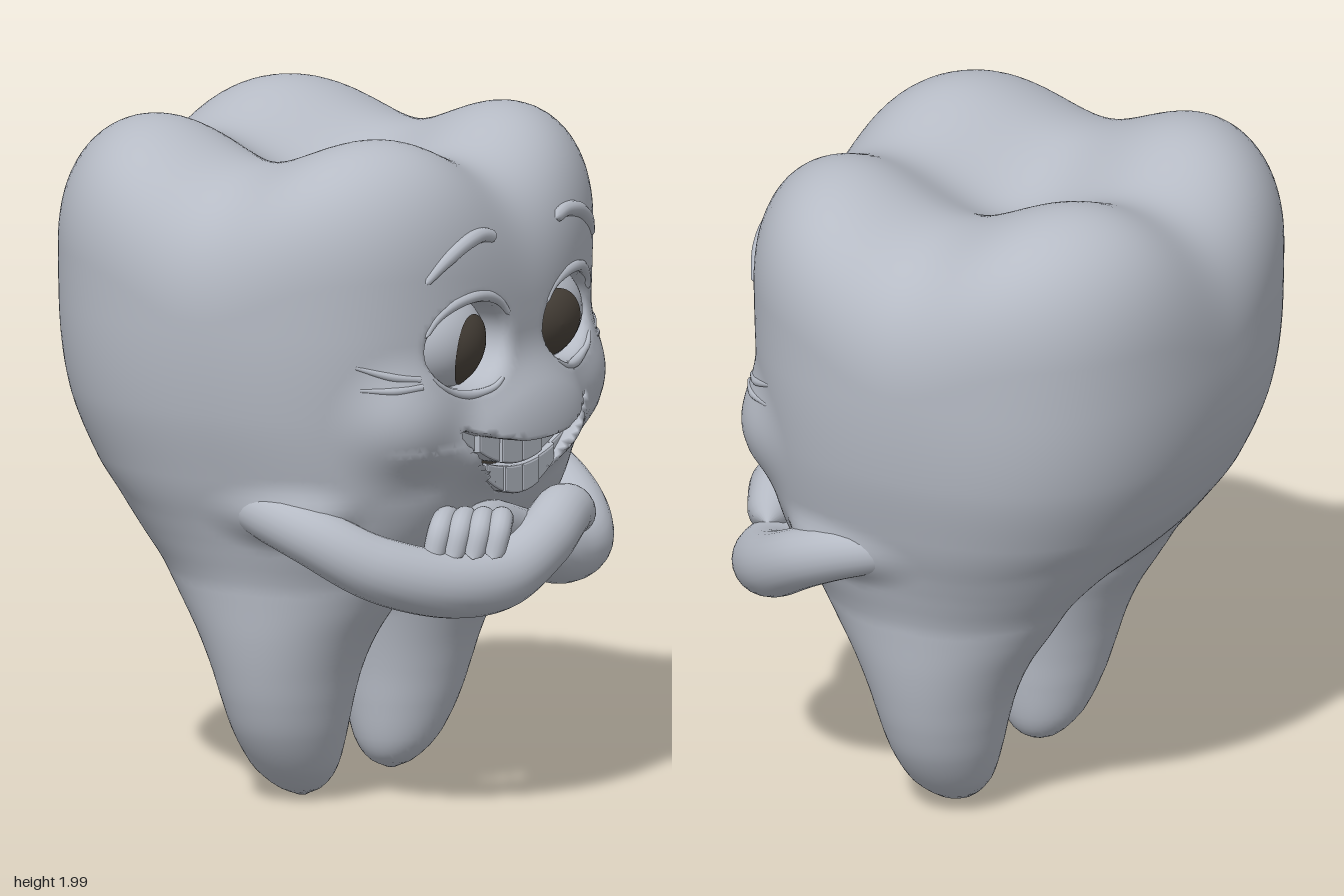
import * as THREE from 'three';

const enamel = new THREE.MeshStandardMaterial({ color: 0xb6bbc5 });
enamel.name = 'enamel grey';
const dark = new THREE.MeshStandardMaterial({ color: 0x4a433b });
dark.name = 'dark brown';

// Crown sections: y, back x, front x, half depth z
const CROWN = [[0.54, -0.06, 0.06, 0.2], [0.62, -0.22, 0.22, 0.38], [0.7, -0.365, 0.36, 0.53], [0.8, -0.495, 0.48, 0.62],
  [0.9, -0.585, 0.55, 0.67], [1, -0.655, 0.585, 0.705], [1.2, -0.735, 0.605, 0.755], [1.45, -0.766, 0.625, 0.777], [2.2, -0.765, 0.64, 0.775]];
// Root sections: y, half width x, inner z, outer z
const ROOT = [[0, 0.012, 0.24, 0.262], [0.02, 0.055, 0.2, 0.31], [0.05, 0.09, 0.17, 0.36], [0.1, 0.125, 0.15, 0.42], [0.2, 0.162, 0.135, 0.49],
  [0.3, 0.19, 0.125, 0.53], [0.4, 0.222, 0.11, 0.555], [0.5, 0.27, 0.09, 0.572], [0.6, 0.335, 0.065, 0.582], [0.7, 0.395, 0.06, 0.59],
  [0.8, 0.43, 0.08, 0.59], [0.95, 0.42, 0.12, 0.55], [1.15, 0.25, 0.2, 0.45]];

// Smooth interpolation between table rows
function lookup(rows, y) {
  const n = rows.length - 1;
  if (y <= rows[0][0]) return rows[0];
  if (y >= rows[n][0]) return rows[n];
  let i = 0;
  while (rows[i + 1][0] < y) i++;
  const a = rows[i], b = rows[i + 1], p = rows[Math.max(i - 1, 0)], q = rows[Math.min(i + 2, n)];
  const h = b[0] - a[0], t = (y - a[0]) / h, t2 = t * t, t3 = t2 * t;
  return a.map((v, k) => v * (2 * t3 - 3 * t2 + 1) + b[k] * (3 * t2 - 2 * t3)
    + h * (t3 - 2 * t2 + t) * (b[k] - p[k]) / (b[0] - p[0]) + h * (t3 - t2) * (q[k] - a[k]) / (q[0] - a[0]));
}

const smax = (a, b, k) => Math.max(a, b) + Math.max(k - Math.abs(a - b), 0) ** 2 / (4 * k);
const smin = (a, b, k) => -smax(-a, -b, k);
const ellipsoid = (x, y, z, rx, ry, rz) => (Math.hypot(x / rx, y / ry, z / rz) - 1) * Math.min(rx, ry, rz);

const EYE = { x: 0.46, y: 1.395, z: 0.275, rx: 0.14, ry: 0.15, rz: 0.185 };
const mouthTop = z => 1.085 + 0.08 * (z / 0.36) ** 2;
const mouthBottom = z => 0.932 + 0.233 * (z / 0.36) ** 2;

// Signed field of the tooth: negative inside
function field(x, y, z) {
  const a = Math.abs(z);
  const [, xb, xf, hz] = lookup(CROWN, y), hx = (xf - xb) / 2;
  const side = ((Math.abs((x - (xb + xf) / 2) / hx) ** 2.65 + (a / hz) ** 2.65) ** (1 / 2.65) - 1) * Math.min(hx, hz);
  // Four cusps, parted by two crossing valleys
  const top = 2.05 - 0.145 * Math.exp(-(((x + 0.05) / 0.27) ** 2)) - 0.13 * Math.exp(-((z / 0.24) ** 2));
  let d = smax(smax(side, y - top, 0.43), 0.57 - y, 0.06);
  if (y < 1.15) {
    const [, rx, zi, zo] = lookup(ROOT, y), rz = (zo - zi) / 2;
    const root = (Math.hypot(x / rx, (a - (zi + zo) / 2) / rz) - 1) * Math.min(rx, rz);
    d = smin(d, Math.max(root, -y, y - 1.1), 0.09);
    // Shoulder flowing into the arm
    d = smin(d, ellipsoid(x - 0.16, y - 0.91, a - 0.61, 0.16, 0.07, 0.08), 0.06);
  }
  if (x > 0.2 && y > 0.7) {
    // Upper lip, cheeks, eye sockets and mouth
    d = smin(d, ellipsoid(x - 0.52, y - 1.1, z, 0.185, y > 1.1 ? 0.25 : 0.15, 0.38), 0.06);
    d = smin(d, ellipsoid(x - 0.46, y - 1.19, a - 0.45, 0.11, 0.12, 0.13), 0.12);
    const socket = Math.max((Math.hypot((y - EYE.y) / 0.125, (a - EYE.z) / 0.168) - 1) * 0.125, 0.36 - x);
    d = smax(d, -socket, 0.035);
    d = Math.max(d, -Math.max(y - mouthTop(z), mouthBottom(z) - y, 0.5 - x));
  }
  return d;
}

// Front surface position at a given height and depth
function surfaceX(y, z) {
  let x = 0.85;
  while (x > 0 && field(x, y, z) > 0) x -= 0.004;
  return x;
}

// Skin the field: one vertex per crossed grid cell, one quad per crossed edge
function skin(f, min, size, h) {
  const n = size.map(s => Math.ceil(s / h) + 1), step = [1, n[0], n[0] * n[1]];
  const val = new Float32Array(n[0] * n[1] * n[2]), ids = new Int32Array(val.length).fill(-1);
  const pos = [], nor = [], index = [];
  const each = (from, to, fn) => {
    for (let k = from; k < n[2] - to; k++) for (let j = from; j < n[1] - to; j++) for (let i = from; i < n[0] - to; i++)
      fn([i, j, k], i + j * step[1] + k * step[2]);
  };
  each(0, 0, (c, o) => { val[o] = f(min[0] + c[0] * h, min[1] + c[1] * h, min[2] + c[2] * h); });
  each(0, 1, (c, o) => {
    const sum = [0, 0, 0];
    let count = 0;
    for (let m = 0; m < 8; m++) for (let d = 0; d < 3; d++) {
      if (m >> d & 1) continue;
      const bits = [m & 1, m >> 1 & 1, m >> 2 & 1];
      const p = o + bits[0] + bits[1] * step[1] + bits[2] * step[2], va = val[p], vb = val[p + step[d]];
      if ((va < 0) === (vb < 0)) continue;
      bits[d] = va / (va - vb);
      for (let q = 0; q < 3; q++) sum[q] += bits[q];
      count++;
    }
    if (!count) return;
    const v = sum.map((s, q) => min[q] + (c[q] + s / count) * h), e = 0.008;
    const g = new THREE.Vector3(f(v[0] + e, v[1], v[2]) - f(v[0] - e, v[1], v[2]),
      f(v[0], v[1] + e, v[2]) - f(v[0], v[1] - e, v[2]), f(v[0], v[1], v[2] + e) - f(v[0], v[1], v[2] - e)).normalize();
    ids[o] = pos.length / 3;
    pos.push(...v);
    nor.push(g.x, g.y, g.z);
  });
  each(1, 1, (c, o) => {
    for (let d = 0; d < 3; d++) {
      const inside = val[o] < 0;
      if (inside === val[o + step[d]] < 0) continue;
      const u = step[(d + 1) % 3], v = step[(d + 2) % 3];
      const q = [o, o - u, o - u - v, o - v].map(p => ids[p]);
      if (!inside) q.reverse();
      index.push(q[0], q[1], q[2], q[0], q[2], q[3]);
    }
  });
  const geo = new THREE.BufferGeometry();
  geo.setAttribute('position', new THREE.Float32BufferAttribute(pos, 3));
  geo.setAttribute('normal', new THREE.Float32BufferAttribute(nor, 3));
  geo.setIndex(index);
  return geo;
}

// Round-ended tube whose radius runs through a list of values
function limb(points, radii, seg = 48, sides = 20) {
  const curve = new THREE.CatmullRomCurve3(points.map(p => new THREE.Vector3(...p)));
  const geo = new THREE.TubeGeometry(curve, seg, 1, sides), pos = geo.attributes.position;
  const length = curve.getLength(), v = new THREE.Vector3();
  for (let i = 0; i < pos.count; i++) {
    const t = Math.floor(i / (sides + 1)) / seg, c = curve.getPointAt(t);
    const k = t * (radii.length - 1), j = Math.min(Math.floor(k), radii.length - 2);
    const r = THREE.MathUtils.lerp(radii[j], radii[j + 1], k - j);
    const end = Math.min(Math.min(t, 1 - t) * length / r, 1);
    v.fromBufferAttribute(pos, i).sub(c).multiplyScalar(r * Math.sqrt(1 - (1 - end) ** 2)).add(c);
    pos.setXYZ(i, v.x, v.y, v.z);
  }
  return geo;
}

// Flat outline between two height curves, turned to face +x
function band(z0, z1, low, high) {
  const zs = Array.from({ length: 13 }, (_, i) => z0 + (z1 - z0) * i / 12);
  return new THREE.Shape([...zs.map(z => new THREE.Vector2(-z, low(z))), ...zs.reverse().map(z => new THREE.Vector2(-z, high(z)))]);
}

export function createModel() {
  const model = new THREE.Group();
  const add = (name, geo, mat = enamel) => {
    const mesh = new THREE.Mesh(geo, mat);
    mesh.name = name;
    model.add(mesh);
    return mesh;
  };

  add('toothBody', skin(field, [-0.85, -0.08, -0.86], [1.7, 2.2, 1.72], 0.021));

  // Raised line laid on the face, points given as [y, z]
  const faceLine = (name, pts, r, sink = 0) => add(name, limb(pts.map(([y, z]) => [surfaceX(y, z) - sink, y, z]), r, 24, 10));

  for (const s of [1, -1]) {
    const eyeball = add('eyeball', new THREE.SphereGeometry(1, 40, 28));
    eyeball.scale.set(EYE.rx, EYE.ry, EYE.rz);
    eyeball.position.set(EYE.x, EYE.y, s * EYE.z);

    // Pupil wrapped on the eyeball
    const pupil = new THREE.RingGeometry(0, 0.105, 40, 6).rotateY(Math.PI / 2);
    pupil.translate(0, 1.375, s > 0 ? 0.25 : -0.228);
    const p = pupil.attributes.position;
    for (let i = 0; i < p.count; i++) {
      const q = ((p.getY(i) - EYE.y) / EYE.ry) ** 2 + ((p.getZ(i) - s * EYE.z) / EYE.rz) ** 2;
      p.setX(i, EYE.x + EYE.rx * Math.sqrt(Math.max(1 - q, 0)) + 0.004);
    }
    pupil.computeVertexNormals();
    add('pupil', pupil, dark);

    // Brow, lids and laugh lines
    const mirrored = pts => pts.map(([y, z]) => [y, s * z]);
    faceLine('eyebrow', mirrored([[1.6, 0.47], [1.66, 0.4], [1.705, 0.31], [1.715, 0.23], [1.7, 0.17]]), [0.012, 0.022, 0.024, 0.02]);
    const arc = (from, to) => Array.from({ length: 7 }, (_, i) => {
      const t = from + (to - from) * i / 6;
      return [EYE.y + 0.145 * Math.sin(t), s * (EYE.z + 0.195 * Math.cos(t))];
    });
    faceLine('upperLid', arc(0.3, 2.7), [0.008, 0.018, 0.018, 0.008], 0.004);
    faceLine('lowerLid', arc(-0.5, -2.3), [0.006, 0.016, 0.006], 0.004);
    faceLine('laughLine', mirrored([[1.32, 0.48], [1.335, 0.56], [1.37, 0.64]]), [0.012, 0.012, 0.006], 0.005);
    faceLine('laughLine', mirrored([[1.3, 0.48], [1.295, 0.56], [1.3, 0.63]]), [0.012, 0.012, 0.006], 0.005);
  }

  // Dark mouth behind two rows of teeth, which part slightly towards the corners
  add('mouthInside', new THREE.ShapeGeometry(band(0.36, -0.36, mouthBottom, mouthTop)).rotateY(Math.PI / 2).translate(0.525, 0, 0), dark);
  const biteLine = z => mouthBottom(z) + (mouthTop(z) - mouthBottom(z)) * 0.47;
  const teeth = (name, count, width, low, high) => {
    for (let i = 0; i < count; i++) {
      const z = (i - (count - 1) / 2) * width, half = width / 2 - 0.005;
      const geo = new THREE.ExtrudeGeometry(band(z + half, z - half, low, high),
        { depth: 0.06, bevelSize: 0.007, bevelThickness: 0.008, bevelSegments: 2 });
      add(name, geo.rotateY(Math.PI / 2).translate(0.535 - 0.35 * z * z, 0, 0));
    }
  };
  teeth('upperTooth', 6, 0.112, z => biteLine(z) + 0.008, z => mouthTop(z) + 0.01);
  teeth('lowerTooth', 6, 0.095, z => mouthBottom(z) - 0.01, z => biteLine(z) - 0.01 - 0.4 * z * z);

  // Crossed arms
  const armRadii = [0.06, 0.08, 0.09, 0.098, 0.1, 0.098, 0.09, 0.085, 0.06];
  add('leftArm', limb([[-0.04, 0.92, 0.56], [0.12, 0.905, 0.635], [0.28, 0.85, 0.635], [0.43, 0.765, 0.56], [0.565, 0.705, 0.4],
    [0.64, 0.7, 0.22], [0.66, 0.77, 0], [0.63, 0.83, -0.18], [0.57, 0.79, -0.36]], armRadii, 80, 24));
  add('rightArm', limb([[-0.04, 0.92, -0.56], [0.12, 0.91, -0.64], [0.28, 0.855, -0.64], [0.43, 0.77, -0.56], [0.55, 0.705, -0.4],
    [0.57, 0.7, -0.25], [0.55, 0.77, -0.05], [0.57, 0.83, 0.14], [0.61, 0.84, 0.28]], armRadii, 80, 24));

  // Fingers resting over the left forearm
  for (let i = 0; i < 4; i++) {
    const x = 0.69 - 0.047 * i, z = 0.035 * i;
    add('finger', limb([[x - 0.05, 0.86, z * 0.4 + 0.18], [x - 0.01, 0.885, z * 0.8 + 0.25], [x + 0.015, 0.86, z + 0.305], [x + 0.01, 0.78, z + 0.335]],
      [0.034, 0.035, 0.035, 0.032], 20, 14));
  }
  return model;
}
